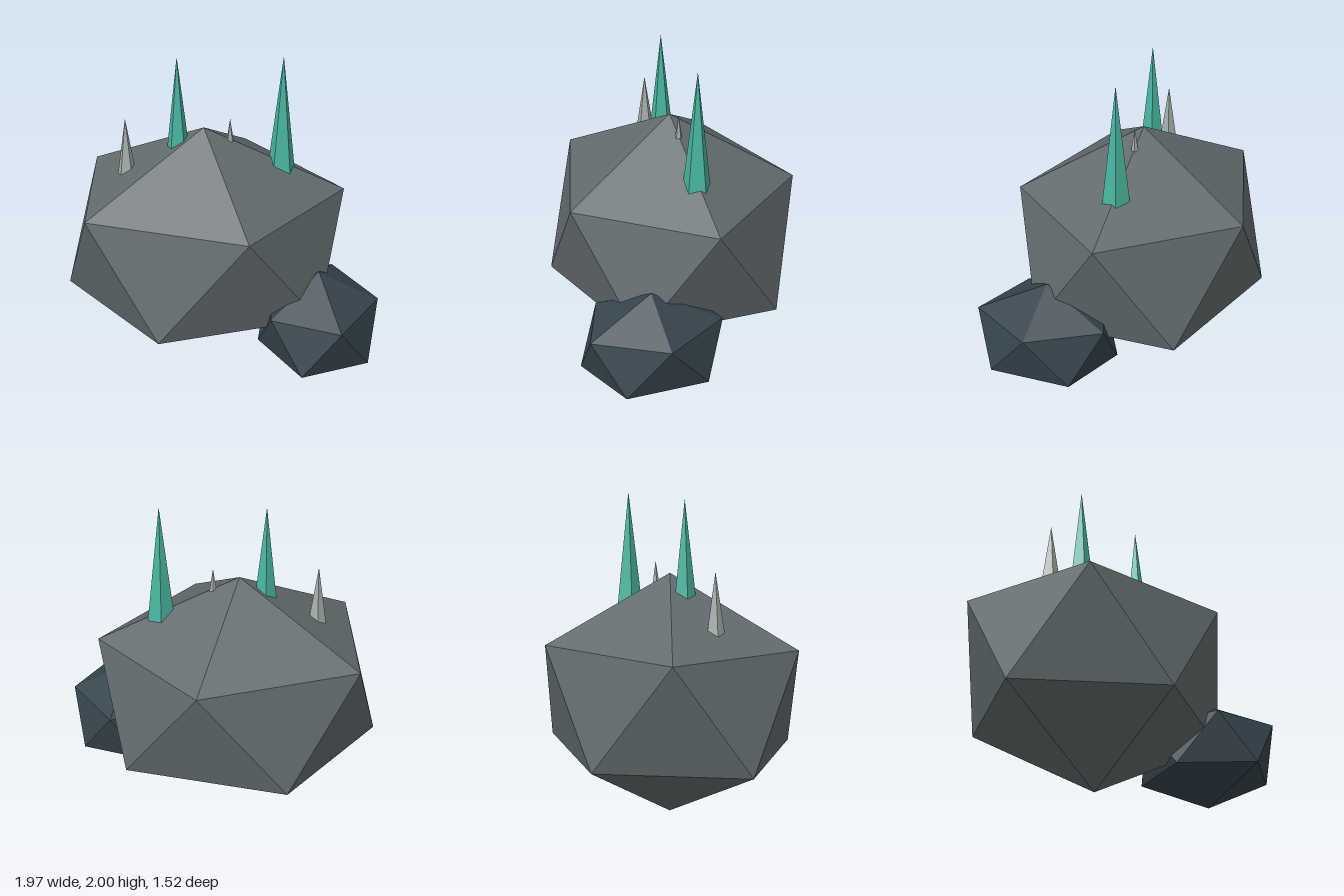
import * as THREE from 'three';
import { ConvexGeometry } from 'three/addons/geometries/ConvexGeometry.js';

const flat = (name, color) => {
  const material = new THREE.MeshStandardMaterial({ color, flatShading: true });
  material.name = name;
  return material;
};

// Unit icosahedron standing on a corner: two poles and two staggered rings of five
function icosahedron() {
  const points = [new THREE.Vector3(0, 1, 0), new THREE.Vector3(0, -1, 0)];
  const h = 1 / Math.sqrt(5), r = 2 * h;
  for (let i = 0; i < 5; i++) {
    const a = (i * Math.PI * 2) / 5;
    const x = r * Math.cos(a), z = r * Math.sin(a);
    points.push(new THREE.Vector3(x, h, z), new THREE.Vector3(-x, -h, z));
  }
  return new ConvexGeometry(points);
}

export function createModel() {
  const group = new THREE.Group();
  const stone = flat('grey stone', 0x626b6e);
  const darkStone = flat('dark slate', 0x36454e);
  const teal = flat('teal crystal', 0x4ab5a0);
  const pale = flat('pale crystal', 0xa6aeaa);

  const add = (name, geometry, material, x, y, z) => {
    const mesh = new THREE.Mesh(geometry, material);
    mesh.name = name;
    mesh.position.set(x, y, z);
    group.add(mesh);
    return mesh;
  };

  // Boulders, stretched by axis
  add('largeBoulder', icosahedron().scale(0.984, 0.763, 0.861), stone, -0.107, 0.768, -0.03);
  add('smallBoulder', icosahedron().scale(0.417, 0.345, 0.491), darkStone, 0.607, 0.375, 0.343);

  // Five-sided spikes rooted in the large boulder, one corner towards the back
  const spike = (name, material, x, tip, height, radius) => {
    const geometry = new THREE.ConeGeometry(radius, height, 5);
    add(name, geometry, material, x, tip - height / 2, -0.03).rotation.y = Math.PI;
  };
  spike('tallCrystalRight', teal, -0.267, 1.995, 0.8, 0.094);
  spike('tallCrystalLeft', teal, 0.375, 2, 0.8, 0.094);
  spike('shortCrystalRight', pale, -0.59, 1.59, 0.49, 0.077);
  spike('shortCrystalLeft', pale, 0.055, 1.59, 0.49, 0.077);

  return group;
}
